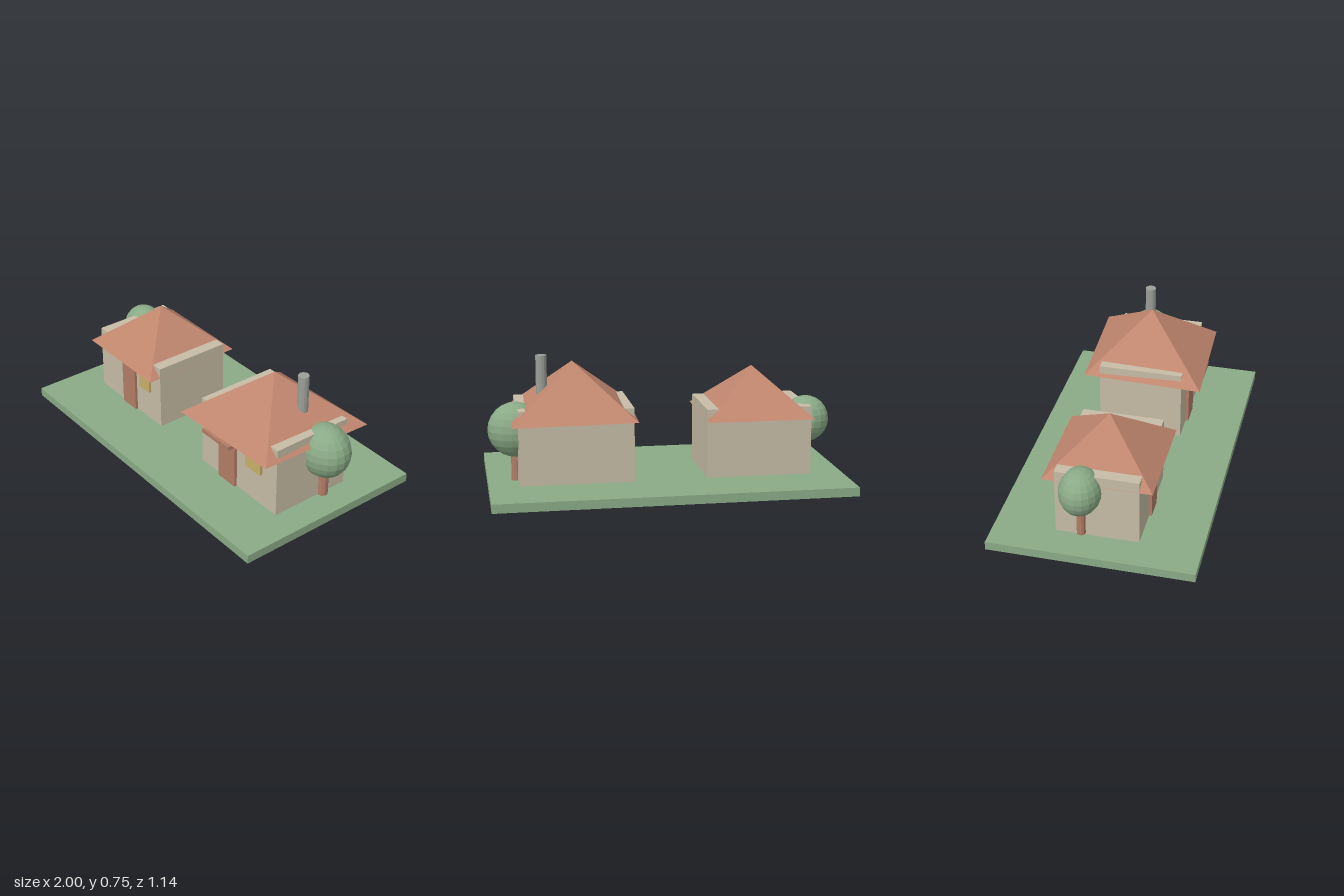
import * as THREE from 'three';

function mat(name, color) {
  const m = new THREE.MeshStandardMaterial({ color });
  m.name = name;
  m.flatShading = true;
  return m;
}

export function createModel() {
  const grass = mat('grass green', 0x8aaa86);
  const leaf = mat('leaf green', 0x8aaa86);
  const plaster = mat('plaster cream', 0xc6bca5);
  const tile = mat('roof terracotta', 0xc0866e);
  const wood = mat('wood brown', 0xb27d66);
  const glass = mat('window yellow', 0xc8af6a);
  const stone = mat('chimney grey', 0x9c9e98);

  const root = new THREE.Group();
  root.name = 'village';

  function add(parent, name, geo, material) {
    const mesh = new THREE.Mesh(geo, material);
    mesh.name = name;
    parent.add(mesh);
    return mesh;
  }

  // Box given by its minimum and maximum along each axis
  function box(parent, name, material, [x0, x1], [y0, y1], [z0, z1]) {
    const geo = new THREE.BoxGeometry(x1 - x0, y1 - y0, z1 - z0);
    geo.translate((x0 + x1) / 2, (y0 + y1) / 2, (z0 + z1) / 2);
    return add(parent, name, geo, material);
  }

  // Four-sided roof; the half diagonals may differ
  function roof(parent, x, y0, y1, diagA, diagB) {
    const geo = new THREE.ConeGeometry(1, y1 - y0, 4);
    geo.scale(diagA, 1, diagB);
    geo.rotateY(Math.PI / 4);
    geo.translate(x, (y0 + y1) / 2, 0);
    return add(parent, 'roof', geo, tile);
  }

  function tree(name, x, z, base, trunkRadius, crownY, rx, ry, rz) {
    const group = new THREE.Group();
    group.name = name;
    group.position.set(x, 0, z);
    const trunk = new THREE.CylinderGeometry(trunkRadius, trunkRadius, crownY - base, 10);
    trunk.translate(0, (crownY + base) / 2, 0);
    add(group, 'trunk', trunk, wood);
    const crown = new THREE.SphereGeometry(1, 18, 12);
    crown.scale(rx, ry, rz);
    crown.translate(0, crownY, 0);
    add(group, 'crown', crown, leaf);
    root.add(group);
  }

  box(root, 'ground', grass, [-1, 1], [0, 0.05], [-0.57, 0.57]);

  // Small house; the wall tops poke through the roof at both sides
  const small = new THREE.Group();
  small.name = 'smallHouse';
  box(small, 'walls', plaster, [-0.815, -0.217], [0.05, 0.44], [-0.23, 0.23]);
  roof(small, -0.516, 0.38, 0.645, 0.425, 0.425);
  box(small, 'door', wood, [-0.58, -0.455], [0.05, 0.325], [0.22, 0.245]);
  box(small, 'window', glass, [-0.407, -0.31], [0.24, 0.34], [0.22, 0.245]);
  root.add(small);

  // Large house with a slightly skewed roof
  const large = new THREE.Group();
  large.name = 'largeHouse';
  box(large, 'walls', plaster, [0.195, 0.833], [0.05, 0.467], [-0.243, 0.243]);
  roof(large, 0.514, 0.403, 0.7, 0.508, 0.47);
  box(large, 'door', wood, [0.362, 0.503], [0.05, 0.34], [0.235, 0.259]);
  box(large, 'doorCanopy', wood, [0.32, 0.545], [0.35, 0.373], [0.235, 0.34]);
  box(large, 'window', glass, [0.592, 0.716], [0.248, 0.362], [0.235, 0.259]);
  const chimney = new THREE.CylinderGeometry(0.031, 0.031, 0.24, 12);
  chimney.translate(0.689, 0.625, -0.05);
  add(large, 'chimney', chimney, stone);
  root.add(large);

  tree('leftTree', 0.84, -0.085, 0.05, 0.029, 0.338, 0.155, 0.154, 0.134);
  tree('rightTree', -0.817, -0.088, 0.06, 0.025, 0.34, 0.134, 0.134, 0.116);

  return root;
}
